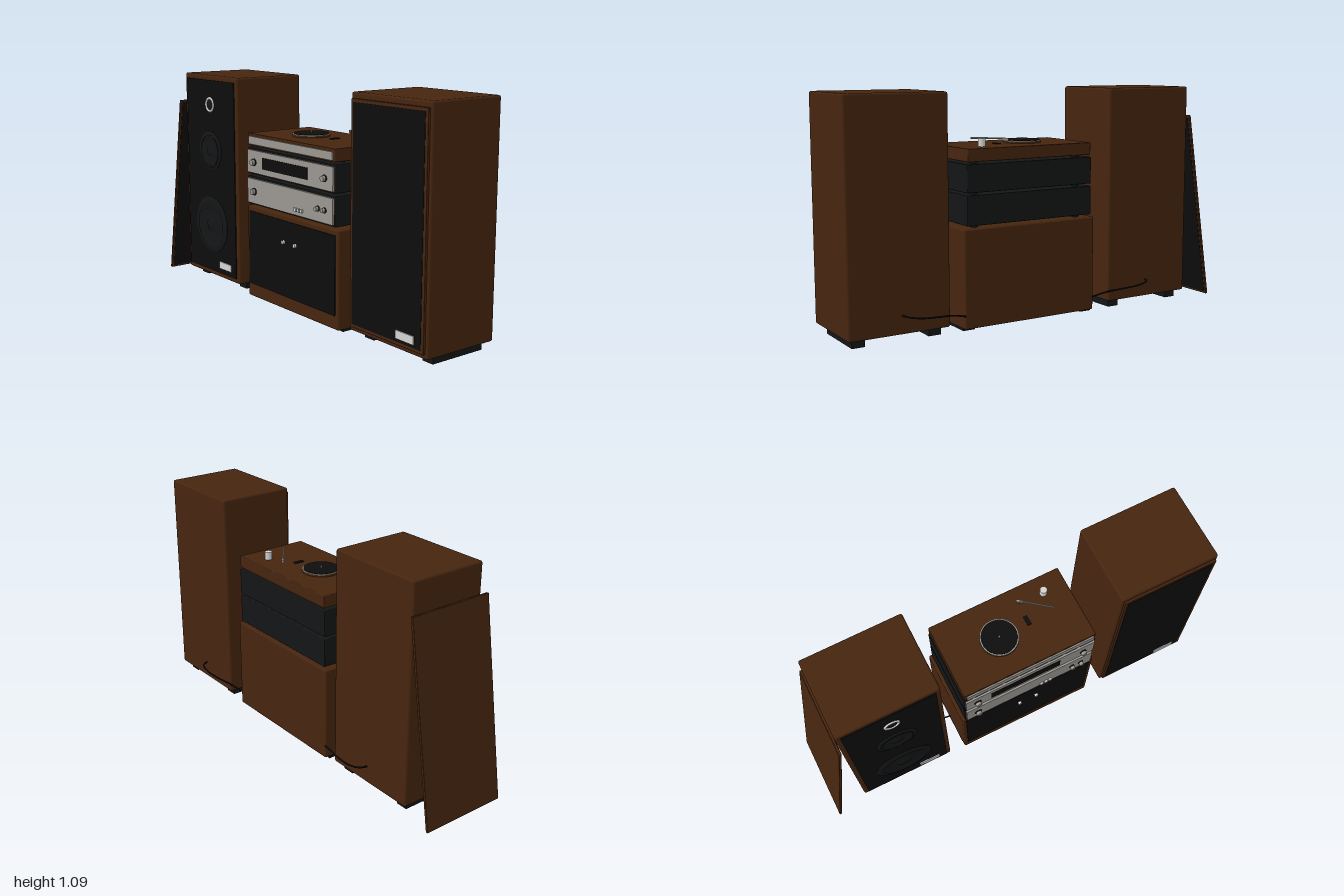
import * as THREE from 'three';
import { RoundedBoxGeometry } from 'three/addons/geometries/RoundedBoxGeometry.js';

const mat = (name, hex) => {
  const m = new THREE.MeshStandardMaterial({ color: hex });
  m.name = name;
  return m;
};

export function createModel() {
  const wood = mat('walnut', 0x46250f);
  const cloth = mat('blackCloth', 0x0d0d0e);
  const rubber = mat('blackPlastic', 0x141516);
  const silver = mat('brushedSilver', 0x9a9690);
  const bright = mat('brightMetal', 0xd4d4d2);

  const root = new THREE.Group();
  root.name = 'stereoSystem';

  const add = (parent, name, geo, m, x = 0, y = 0, z = 0) => {
    const mesh = new THREE.Mesh(geo, m);
    mesh.name = name;
    mesh.position.set(x, y, z);
    parent.add(mesh);
    return mesh;
  };
  const group = (name, parent = root) => {
    const g = new THREE.Group();
    g.name = name;
    parent.add(g);
    return g;
  };
  // Box given by its limits on each axis; r rounds the edges
  const box = (parent, name, m, x0, x1, y0, y1, z0, z1, r = 0) => {
    const s = [x1 - x0, y1 - y0, z1 - z0];
    const geo = r ? new RoundedBoxGeometry(...s, 2, r) : new THREE.BoxGeometry(...s);
    return add(parent, name, geo, m, (x0 + x1) / 2, (y0 + y1) / 2, (z0 + z1) / 2);
  };
  // Disc or knob with its axis along z, starting at z
  const knob = (parent, name, m, x, y, z, r, depth) => {
    const geo = new THREE.CylinderGeometry(r, r, depth, 32).rotateX(Math.PI / 2);
    return add(parent, name, geo, m, x, y, z + depth / 2);
  };
  const ring = (parent, name, m, x, y, z, r, t) =>
    add(parent, name, new THREE.TorusGeometry(r, t, 8, 48), m, x, y, z);

  // Speaker cabinets on two runners
  const speaker = (name, cx) => {
    const g = group(name);
    g.position.x = cx;
    box(g, 'cabinet', wood, -0.242, 0.242, 0.05, 1.09, -0.187, 0.197, 0.01);
    for (const s of [-1, 1])
      box(g, 'runner', rubber, s * 0.182 - 0.03, s * 0.182 + 0.03, 0.012, 0.052, -0.15, 0.135);
    return g;
  };
  const badge = (g, z) => box(g, 'badge', bright, 0.07, 0.178, 0.102, 0.138, z, z + 0.005);

  // Open speaker showing its drivers
  const open = speaker('rightSpeaker', -0.598);
  box(open, 'baffle', cloth, -0.219, 0.219, 0.075, 1.065, 0.19, 0.202);
  badge(open, 0.202);
  ring(open, 'tweeterRing', bright, 0, 0.942, 0.203, 0.033, 0.006);
  const dome = new THREE.SphereGeometry(0.026, 24, 8, 0, Math.PI * 2, 0, Math.PI / 2)
    .rotateX(Math.PI / 2).scale(1, 1, 0.25);
  add(open, 'tweeterDome', dome, rubber, 0, 0.942, 0.202);
  for (const [name, y, r] of [['midrange', 0.705, 0.1], ['woofer', 0.322, 0.145]]) {
    const d = group(name, open);
    const profile = [[r, 0], [r, 0.005], [r * 0.86, 0.006], [r * 0.8, 0.011],
      [r * 0.7, 0.004], [r * 0.3, 0.002], [r * 0.25, 0.007], [0, 0.01]]
      .reverse().map(([a, b]) => new THREE.Vector2(a, b));
    const geo = new THREE.LatheGeometry(profile.reverse(), 48).rotateX(Math.PI / 2);
    const cone = add(d, 'cone', geo, rubber, 0, y, 0.201);
    cone.material = rubber;
    ring(d, 'surround', rubber, 0, y, 0.205, r * 0.8, 0.006);
  }

  // Cloth-covered grille, facing +z
  const grille = (name, w, h, rim) => {
    const g = group(name);
    box(g, 'grilleFrame', wood, -w / 2, w / 2, -h / 2, h / 2, -0.007, 0.006, 0.003);
    box(g, 'grilleCloth', cloth, rim - w / 2, w / 2 - rim, rim - h / 2, h / 2 - rim, 0, 0.008);
    return g;
  };
  const closed = speaker('leftSpeaker', 0.756);
  const fitted = grille('fittedGrille', 0.46, 0.992, 0.015);
  fitted.position.set(0.756, 0.568, 0.202);
  badge(closed, 0.21);

  // Removed grille leaning on the open speaker
  const leaning = grille('leaningGrille', 0.428, 0.945, 0.01);
  leaning.rotation.set(0, Math.PI / 2, 0);
  const tilt = group('leaningPanel');
  tilt.add(leaning);
  tilt.rotation.z = -0.154;
  tilt.position.set(-0.92, 0.479, 0.014);

  // Low cabinet with doors
  const low = group('lowCabinet');
  box(low, 'cabinetBody', wood, -0.275, 0.433, 0.02, 0.477, -0.175, 0.196, 0.008);
  box(low, 'door', cloth, -0.256, 0.412, 0.085, 0.452, 0.19, 0.2);
  for (const x of [-0.245, 0.4])
    box(low, 'runner', rubber, x - 0.03, x + 0.03, 0.01, 0.022, -0.15, 0.165);
  for (const x of [0.032, 0.123]) knob(low, 'doorKnob', bright, x, 0.35, 0.2, 0.009, 0.012);

  // Amplifier and tuner share one casing
  const unit = (name, y0, y1) => {
    const g = group(name);
    box(g, 'casing', rubber, -0.26, 0.414, y0, y1, -0.17, 0.2, 0.004);
    box(g, 'facePlate', silver, -0.253, 0.407, y0 + 0.009, y1 - 0.009, 0.196, 0.209);
    for (const x of [-0.2, 0.354])
      for (const z of [-0.12, 0.12])
        add(g, 'foot', new THREE.CylinderGeometry(0.018, 0.018, 0.014, 20), rubber, x, y0 - 0.006, z);
    return g;
  };
  const dial = (g, x, y, r) => {
    knob(g, 'knobBase', rubber, x, y, 0.209, r, 0.004);
    knob(g, 'knob', silver, x, y, 0.209, r * 0.78, 0.018);
  };
  const amp = unit('amplifier', 0.489, 0.627);
  dial(amp, -0.195, 0.557, 0.018);
  dial(amp, 0.303, 0.557, 0.013);
  dial(amp, 0.35, 0.557, 0.013);
  for (const x of [0.14, 0.163, 0.186])
    box(amp, 'button', bright, x - 0.008, x + 0.008, 0.518, 0.533, 0.209, 0.218);
  const tuner = unit('tuner', 0.638, 0.766);
  box(tuner, 'display', cloth, -0.126, 0.228, 0.675, 0.73, 0.207, 0.212);
  dial(tuner, -0.195, 0.7, 0.018);
  dial(tuner, 0.35, 0.7, 0.016);

  // Turntable
  const deck = group('turntable');
  box(deck, 'plinth', wood, -0.256, 0.41, 0.776, 0.835, -0.17, 0.2, 0.004);
  box(deck, 'facePlate', silver, -0.244, 0.4, 0.784, 0.822, 0.196, 0.207);
  for (const x of [-0.2, 0.354])
    for (const z of [-0.12, 0.12])
      add(deck, 'foot', new THREE.CylinderGeometry(0.018, 0.018, 0.014, 20), rubber, x, 0.771, z);
  const disc = (name, m, x, z, r, y0, y1) =>
    add(deck, name, new THREE.CylinderGeometry(r, r, y1 - y0, 48), m, x, (y0 + y1) / 2, z);
  disc('platter', wood, 0.01, 0.02, 0.09, 0.83, 0.844);
  disc('platterRim', silver, 0.01, 0.02, 0.09, 0.844, 0.847);
  disc('mat', cloth, 0.01, 0.02, 0.084, 0.844, 0.849);
  disc('spindle', bright, 0.01, 0.02, 0.003, 0.845, 0.858);
  box(deck, 'speedSwitch', cloth, 0.153, 0.173, 0.834, 0.839, -0.022, 0.026);
  disc('armPivot', bright, 0.29, -0.085, 0.017, 0.834, 0.873);
  const arm = new THREE.LineCurve3(new THREE.Vector3(0.168, 0.867, -0.088),
    new THREE.Vector3(0.295, 0.867, 0.012));
  add(deck, 'toneArm', new THREE.TubeGeometry(arm, 1, 0.004, 8), silver);
  const shell = add(deck, 'headShell', new THREE.BoxGeometry(0.03, 0.012, 0.012), silver, 0.168, 0.862, -0.088);
  shell.rotation.y = -0.67;

  // Speaker cables: a loop behind each speaker and one run under the cabinet
  const cable = (name, pts) => {
    const curve = new THREE.CatmullRomCurve3(pts.map((p) => new THREE.Vector3(...p)));
    add(root, name, new THREE.TubeGeometry(curve, 64, 0.004, 8), cloth);
  };
  for (const s of [-1, 1])
    cable('rearCable', [[0.67, 0.135, -0.18], [0.655, 0.132, -0.215], [0.6, 0.122, -0.229],
      [0.51, 0.114, -0.222], [0.43, 0.104, -0.2], [0.34, 0.08, -0.168]]
      .map(([x, y, z]) => [0.08 + s * x, y, z]));
  const half = [[0.46, 0.085, 0.018], [0.355, 0.062, 0.026], [0.075, 0.018, 0.03]];
  cable('underCable', [...half.map(([x, y, z]) => [0.08 - x, y, z]), [0.08, 0.004, 0.03],
    ...half.reverse().map(([x, y, z]) => [0.08 + x, y, z])]);

  return root;
}
